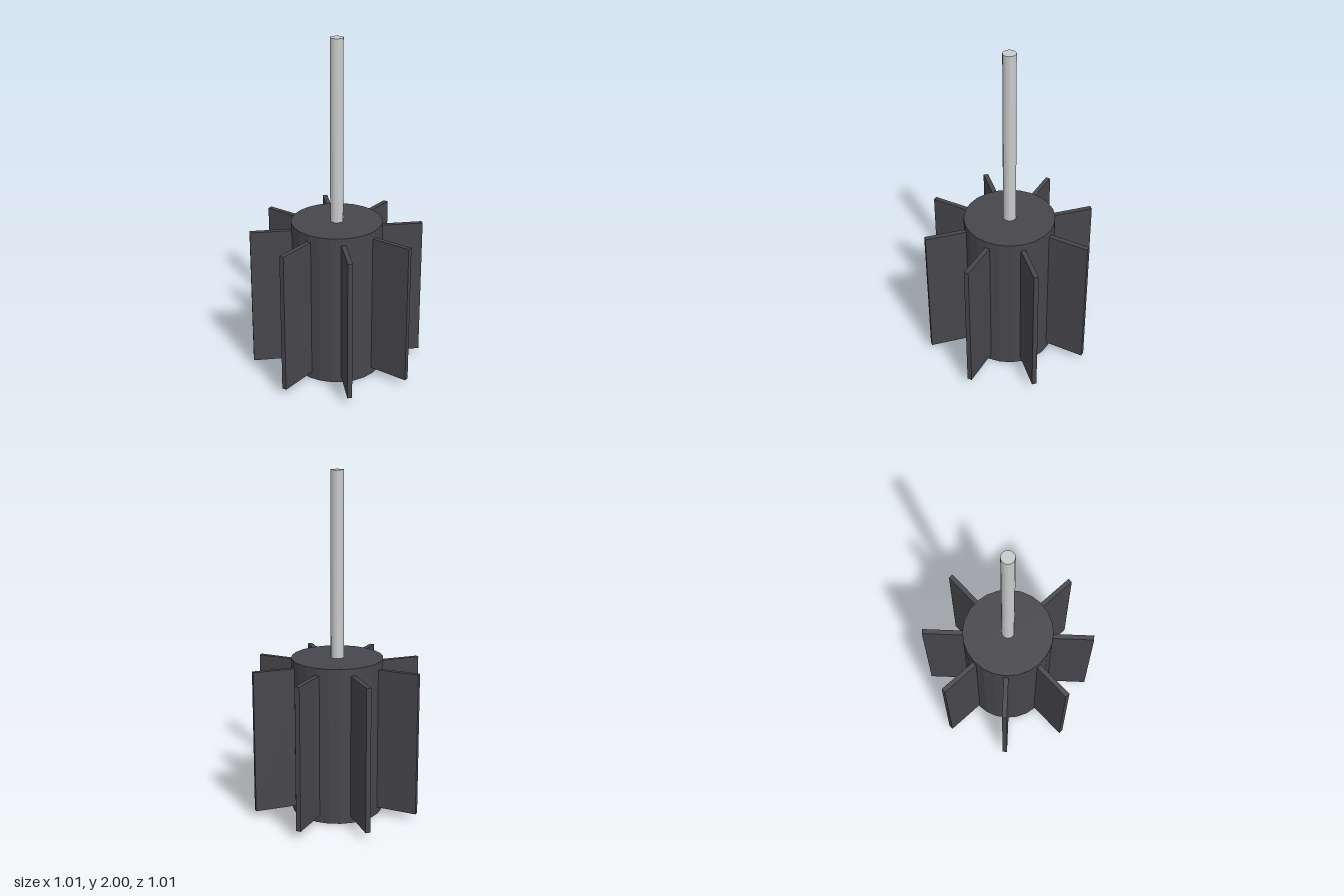
import * as THREE from 'three';

export function createModel() {
  const model = new THREE.Group();
  model.name = 'paddleRotor';

  const darkPlastic = new THREE.MeshStandardMaterial({ color: 0x47464b, flatShading: true });
  darkPlastic.name = 'dark grey';
  const steel = new THREE.MeshStandardMaterial({ color: 0xc8cacc, flatShading: true });
  steel.name = 'light steel';

  const add = (name, geometry, material, y) => {
    const mesh = new THREE.Mesh(geometry, material);
    mesh.name = name;
    mesh.position.y = y;
    model.add(mesh);
    return mesh;
  };

  // Faceted drum standing on the ground
  const drumHeight = 0.925;
  const drumRadius = 0.267;
  add('drum', new THREE.CylinderGeometry(drumRadius, drumRadius, drumHeight, 24), darkPlastic, drumHeight / 2);

  // Drive shaft rising from the top of the drum
  const shaftBottom = 0.9;
  add('shaft', new THREE.CylinderGeometry(0.038, 0.038, 2 - shaftBottom, 16), steel, (2 + shaftBottom) / 2);

  // Eight radial paddles, rooted inside the drum
  const inner = 0.24, outer = 0.507, bottom = 0.042, top = 0.883;
  const paddle = new THREE.BoxGeometry(outer - inner, top - bottom, 0.028);
  paddle.translate((inner + outer) / 2, 0, 0);
  for (let i = 0; i < 8; i++) {
    add(`paddle${i + 1}`, paddle, darkPlastic, (bottom + top) / 2).rotation.y = (i * Math.PI) / 4;
  }

  return model;
}
